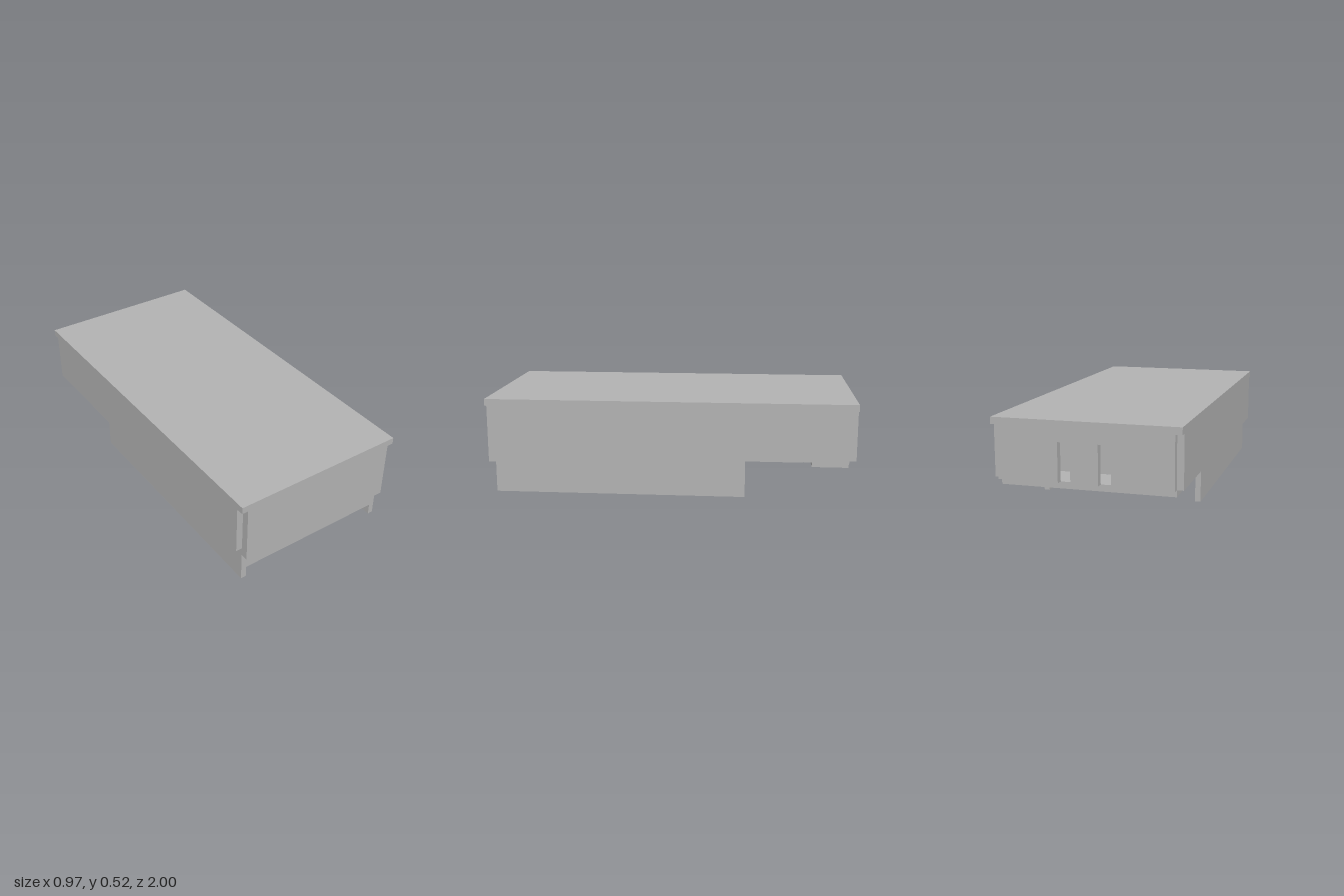
import * as THREE from 'three';

const grey = new THREE.MeshStandardMaterial({ color: 0xb2b2b2 });
grey.name = 'plain grey';

function toShape(points) {
  return new THREE.Shape(points.map(([a, b]) => new THREE.Vector2(a, b)));
}

export function createModel() {
  const group = new THREE.Group();
  group.name = 'building';

  const add = (name, geometry) => {
    const mesh = new THREE.Mesh(geometry, grey);
    mesh.name = name;
    group.add(mesh);
  };

  // Box given by its lower and upper corner
  const box = (name, [x0, y0, z0], [x1, y1, z1]) => {
    const g = new THREE.BoxGeometry(x1 - x0, y1 - y0, z1 - z0);
    g.translate((x0 + x1) / 2, (y0 + y1) / 2, (z0 + z1) / 2);
    add(name, g);
  };

  // Side profile in (z, y), extruded across from x0 to x1
  const crossExtrude = (name, points, x0, x1) => {
    const g = new THREE.ExtrudeGeometry(toShape(points), { depth: x1 - x0, bevelEnabled: false });
    g.rotateY(-Math.PI / 2);
    g.translate(x1, 0, 0);
    add(name, g);
  };

  const top = 0.488, base = 0.212;

  // Overhanging roof slab
  box('roof', [-0.485, top, -1], [0.485, 0.525, 1]);

  // Core with a stepped underside rising toward the back
  const core = [[0.96, top], [0.96, 0.065], [0.62, 0.065], [0.62, 0.03], [0.26, 0.03], [0.26, 0.06]];
  const steps = 16, run = 0.67 / steps, rise = 0.14 / steps;
  for (let i = 1; i <= steps; i++) {
    const z = 0.26 - i * run, y = 0.06 + i * rise;
    core.push([z, y - rise], [z, y]);
  }
  core.push([-0.72, 0.2], [-0.72, base], [-0.76, base], [-0.76, top]);
  crossExtrude('core', core, -0.42, 0.42);

  // Side walls with lower skirts, and the outer cladding panels
  const wall = [[0.96, top], [0.96, 0], [-0.41, 0], [-0.41, 0.2], [-0.72, 0.2],
    [-0.72, base], [-0.96, base], [-0.96, top]];
  for (const [side, s] of [['left', 1], ['right', -1]]) {
    const span = (a, b) => (s > 0 ? [a, b] : [-b, -a]);
    crossExtrude(side + 'Wall', wall, ...span(0.42, 0.45));
    const [x0, x1] = span(0.45, 0.485);
    box(side + 'Panel', [x0, base, -0.96], [x1, top, 0.96]);
  }

  // Front panel
  box('frontPanel', [-0.45, 0.168, 0.96], [0.45, top, 1]);

  // Back panel with two doorways open at the bottom
  const back = toShape([
    [-0.45, base], [-0.136, base], [-0.136, 0.418], [-0.071, 0.418], [-0.071, base],
    [0.071, base], [0.071, 0.418], [0.136, 0.418], [0.136, base], [0.45, base],
    [0.45, top], [-0.45, top],
  ]);
  const backGeometry = new THREE.ExtrudeGeometry(back, { depth: 0.04, bevelEnabled: false });
  backGeometry.translate(0, 0, -1);
  add('backPanel', backGeometry);

  // Floor of the room behind the doorways
  box('backFloor', [-0.45, 0.177, -0.96], [0.45, base, -0.765]);

  return group;
}
